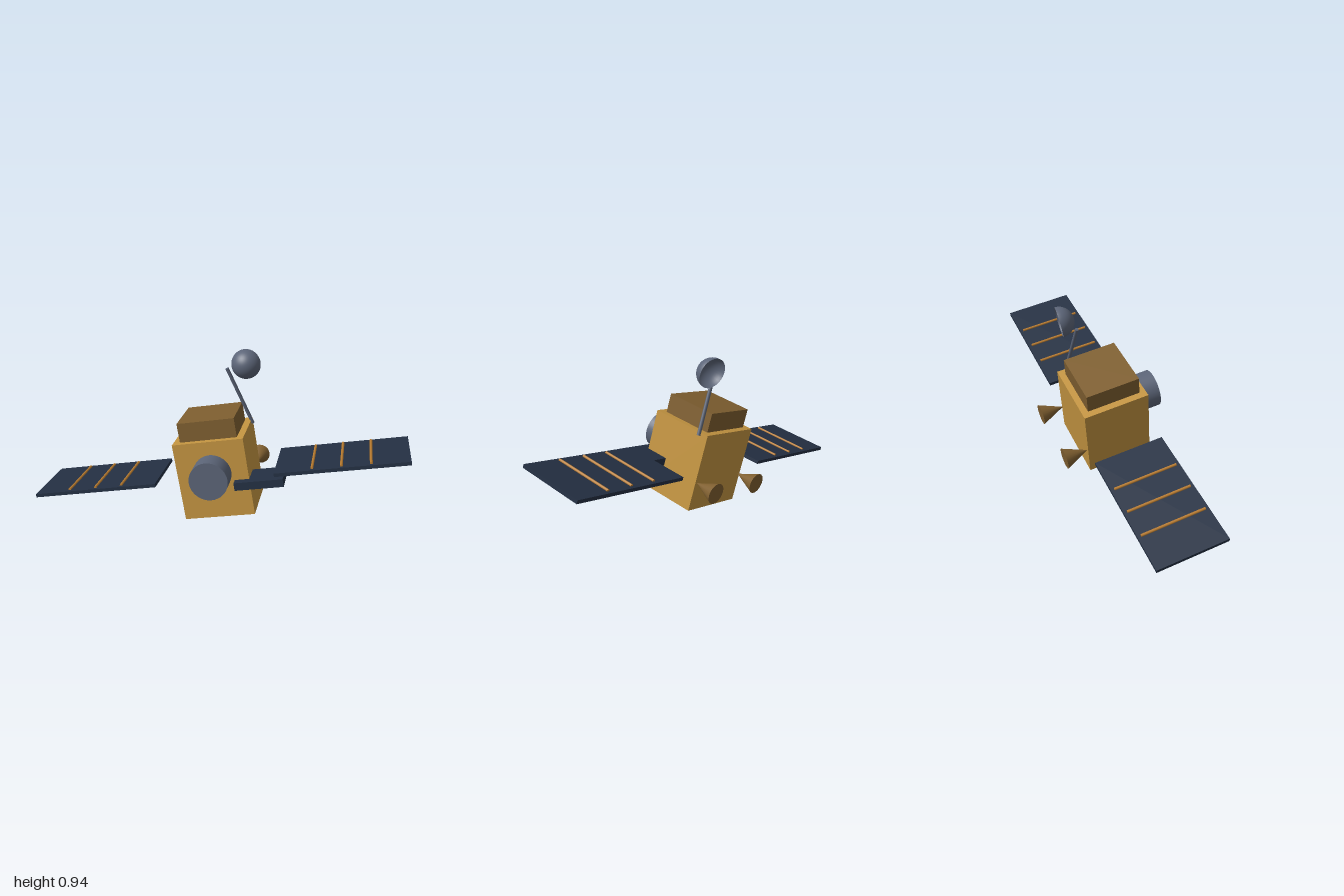
import * as THREE from 'three';

const paint = (name, color, side = THREE.FrontSide) => {
  const m = new THREE.MeshStandardMaterial({ color, side });
  m.name = name;
  return m;
};

export function createModel() {
  const gold = paint('gold foil', 0xc49541);
  const bronze = paint('bronze', 0x7f5f30);
  const navy = paint('navy panel', 0x243043);
  const grey = paint('slate grey', 0x5c6578, THREE.DoubleSide);
  const copper = paint('copper', 0xb97c30);

  const model = new THREE.Group();
  model.name = 'satellite';

  // Tilted frame: x runs along the panels, z towards the sensor
  const craft = new THREE.Group();
  craft.name = 'craft';
  const u = new THREE.Vector3(0.81, 0.19, 0.554).normalize();
  const v = new THREE.Vector3(-0.582, 0.145, 0.8).cross(u).normalize();
  const w = new THREE.Vector3().crossVectors(u, v);
  craft.quaternion.setFromRotationMatrix(new THREE.Matrix4().makeBasis(u, v, w));
  craft.position.set(0, 0.288, 0.004);
  model.add(craft);

  const add = (name, geometry, material, x, y, z, parent = craft) => {
    const mesh = new THREE.Mesh(geometry, material);
    mesh.name = name;
    mesh.position.set(x, y, z);
    parent.add(mesh);
    return mesh;
  };
  const box = (a, b, c) => new THREE.BoxGeometry(a, b, c);

  // Body and top housing
  add('body', box(0.405, 0.453, 0.385), gold, 0, 0, 0);
  add('topHousing', box(0.327, 0.112, 0.312), bronze, 0, 0.281, 0);

  // Round sensor on the front face
  add('sensor', new THREE.CylinderGeometry(0.109, 0.109, 0.14, 32), grey, 0, 0.04, 0.248)
    .rotation.x = Math.PI / 2;

  // Panel bracket, on one side only
  add('panelBracket', box(0.275, 0.045, 0.19), navy, 0.2575, -0.034, 0.146);

  // Solar panels with three raised ribs each
  for (const s of [-1, 1]) {
    const wing = new THREE.Group();
    wing.name = s > 0 ? 'leftPanel' : 'rightPanel';
    wing.position.set(s * 0.713, 0, -0.003);
    craft.add(wing);
    add('panel', box(0.74, 0.02, 0.41), navy, 0, 0, 0, wing);
    for (const x of [-0.16, 0, 0.16]) {
      add('panelRib', new THREE.CylinderGeometry(0.008, 0.008, 0.37, 8), copper, x, 0.013, 0, wing)
        .rotation.x = Math.PI / 2;
    }
    // Thruster cone, tip against the back face
    add('thruster', new THREE.ConeGeometry(0.06, 0.14, 24), bronze, s * 0.187, -0.058, -0.262)
      .rotation.x = Math.PI / 2;
  }

  // Antenna mast and dish, placed in upright coordinates
  const up = new THREE.Vector3(0, 1, 0);
  const foot = new THREE.Vector3(0.235, 0.51, -0.037);
  const tip = new THREE.Vector3(0.102, 0.85, -0.114);
  const along = tip.clone().sub(foot);
  const mid = foot.clone().add(tip).multiplyScalar(0.5);
  add('mast', new THREE.CylinderGeometry(0.0105, 0.0105, along.length(), 12), grey, mid.x, mid.y, mid.z, model)
    .quaternion.setFromUnitVectors(up, along.normalize());

  const back = new THREE.Vector3(-0.69, 0.21, 0.69).normalize();
  add('dish', new THREE.SphereGeometry(0.086, 32, 12, 0, Math.PI * 2, 0, Math.PI / 2), grey, 0.222, 0.858, -0.109, model)
    .quaternion.setFromUnitVectors(up, back);

  return model;
}
